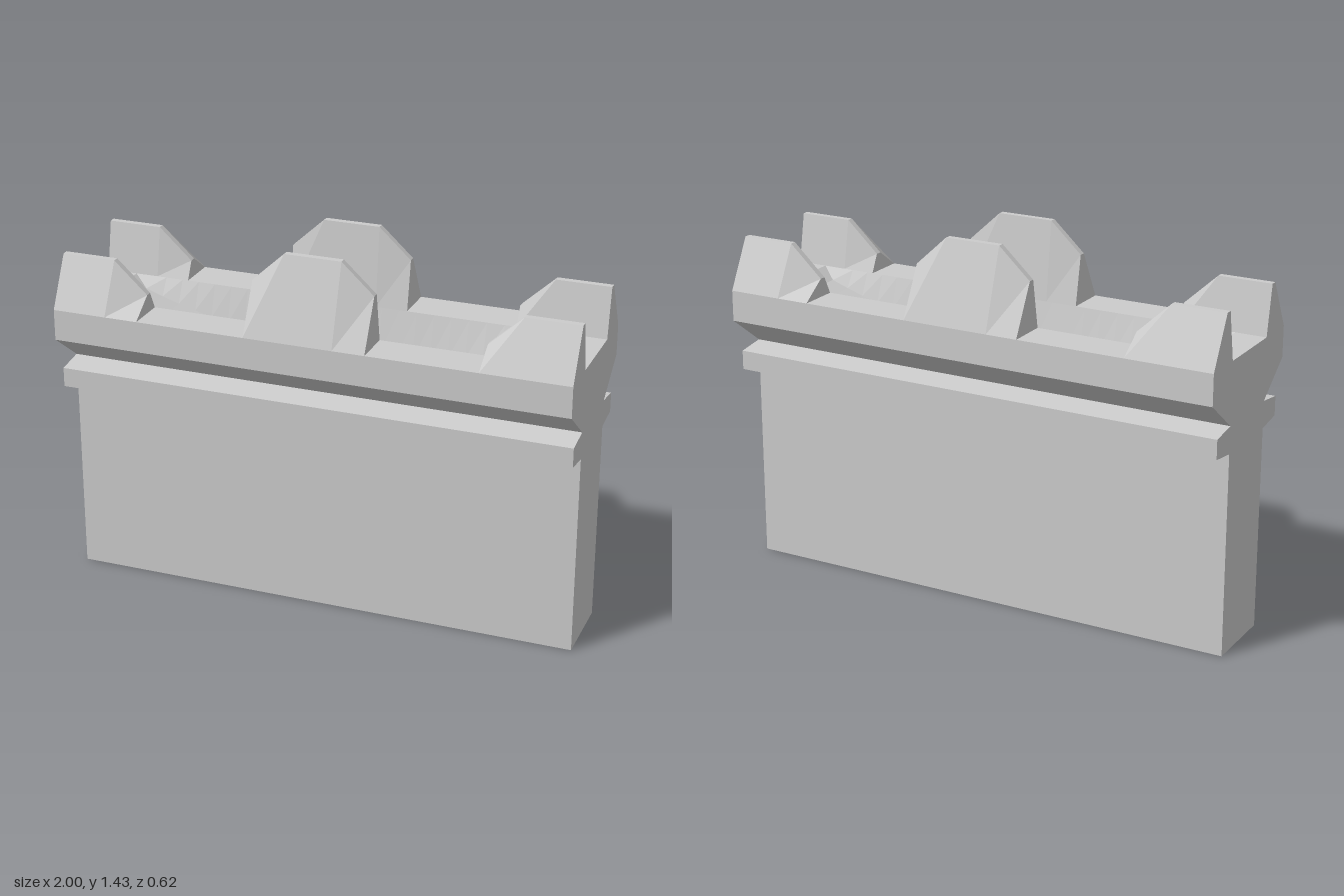
import * as THREE from 'three';

const DECK = 1.13;

// Skin closed (z, y) outlines placed along x, with both ends capped.
// Outlines run counter-clockwise with z to the right and y up.
function loft(sections) {
  const pos = [];
  const put = (s, j) => {
    const [z, y] = s.ring[j % s.ring.length];
    pos.push(s.x, y, z);
  };
  for (let i = 0; i < sections.length - 1; i++) {
    const a = sections[i], b = sections[i + 1];
    for (let j = 0; j < a.ring.length; j++) {
      put(a, j); put(b, j); put(b, j + 1);
      put(a, j); put(b, j + 1); put(a, j + 1);
    }
  }
  const cap = (s, flip) => {
    const outline = s.ring.map(([z, y]) => new THREE.Vector2(z, y));
    for (const [a, b, c] of THREE.ShapeUtils.triangulateShape(outline, [])) {
      put(s, a); put(s, flip ? c : b); put(s, flip ? b : c);
    }
  };
  cap(sections[0], false);
  cap(sections[sections.length - 1], true);
  const geometry = new THREE.BufferGeometry();
  geometry.setAttribute('position', new THREE.Float32BufferAttribute(pos, 3));
  geometry.computeVertexNormals();
  return geometry;
}

// Wall cross-section; the last two half-points shape the sunken walkway
function wallRing(floorZ, floorY) {
  const half = [
    [0.15, 0], [0.15, 0.785], [0.26, 0.80], [0.26, 0.875], [0.15, 0.89],
    [0.31, 1.01], [0.31, DECK], [0.15, DECK], [floorZ, floorY],
  ];
  return [...half, ...half.map(([z, y]) => [-z, y]).reverse()];
}

function wallSections() {
  const flat = (x) => ({ x, ring: wallRing(0.15, DECK) });
  const sections = [flat(-1), flat(-0.88)];
  const steps = 24;
  for (let i = 0; i <= steps; i++) {
    const t = (i / steps) * 2 - 1;
    sections.push({ x: 0.82 * t, ring: wallRing(0.11, 0.945 + 0.145 * t * t) });
  }
  sections.push(flat(0.88), flat(1));
  return sections;
}

// Merlon: wide foot narrowing to a thin crest that follows [x, height] points
function merlonSections(crest, side) {
  return crest.map(([x, top]) => {
    const ring = [[0.15, DECK], [0.31, DECK], [0.21, top], [0.185, top]]
      .map(([z, y]) => [z * side, y]);
    return { x, ring: side < 0 ? ring.reverse() : ring };
  });
}

export function createModel() {
  const group = new THREE.Group();
  const material = new THREE.MeshStandardMaterial({ color: 0xcccccc, flatShading: true });
  const add = (name, sections) => {
    const mesh = new THREE.Mesh(loft(sections), material);
    mesh.name = name;
    group.add(mesh);
  };

  // Wall with ledge, flared parapet and sunken walkway
  add('wall', wallSections());

  // Merlons along the front and back
  const middle = [[-0.235, 1.32], [-0.11, 1.435], [0.11, 1.435], [0.235, 1.32]];
  const leftEnd = [[0.66, 1.20], [0.79, 1.32], [1, 1.32]];
  const rightEnd = leftEnd.map(([x, y]) => [-x, y]).reverse();
  for (const side of [1, -1]) {
    const row = side > 0 ? 'front' : 'back';
    add(row + 'MiddleMerlon', merlonSections(middle, side));
    add(row + 'LeftMerlon', merlonSections(leftEnd, side));
    add(row + 'RightMerlon', merlonSections(rightEnd, side));
  }
  return group;
}
